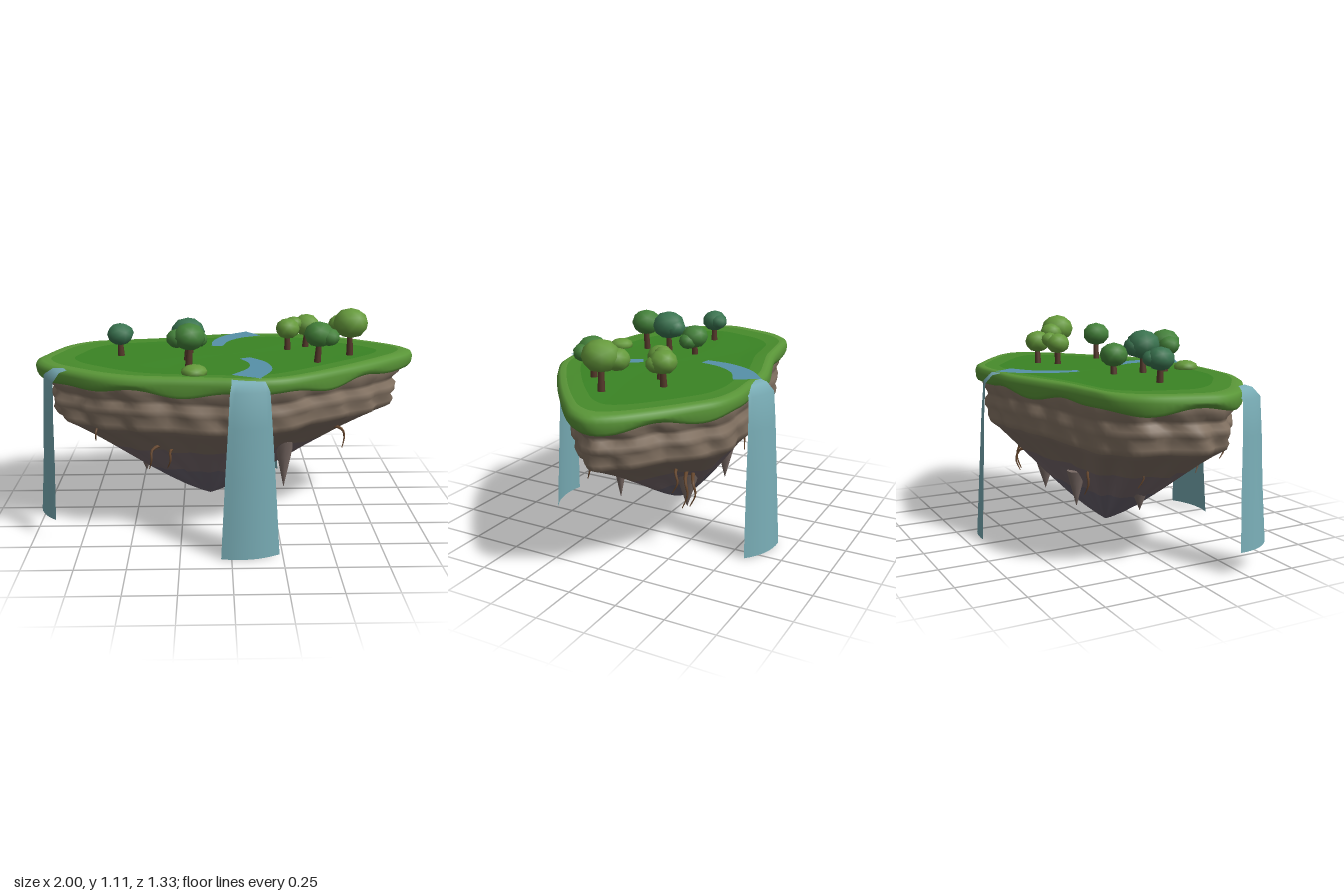
import * as THREE from 'three';

// Island outline seen from above (x, z), running left, back, right, front
const OUTLINE = [[-1, 0.08], [-0.97, -0.06], [-0.9, -0.24], [-0.78, -0.35], [-0.6, -0.39], [-0.4, -0.425],
  [-0.2, -0.485], [0, -0.54], [0.2, -0.548], [0.37, -0.555], [0.52, -0.525], [0.66, -0.44], [0.82, -0.325],
  [0.95, -0.21], [1, -0.12], [0.965, -0.02], [0.85, 0.1], [0.7, 0.23], [0.55, 0.345], [0.4, 0.45],
  [0.25, 0.53], [0.1, 0.555], [-0.1, 0.54], [-0.3, 0.525], [-0.5, 0.5], [-0.65, 0.44], [-0.8, 0.335], [-0.94, 0.21]];
const N = 128;
const rim = new THREE.CatmullRomCurve3(OUTLINE.map(([x, z]) => new THREE.Vector3(x, 0, z)), true)
  .getSpacedPoints(N).slice(0, N);

const material = (color, side = THREE.FrontSide) => new THREE.MeshStandardMaterial({ color, side, roughness: 0.9 });
const MAT = {
  grass: material(0x3a8424), grassEdge: material(0x478b2b), rim: material(0x5a9638),
  rock: material(0x857464), rockMid: material(0x7d6d62), rockLow: material(0x74666a), rockTip: material(0x67606c),
  trunk: material(0x55382a), root: material(0x69492f), spike: material(0x7a6b66),
  leaf: material(0x669a3c), leafMid: material(0x44823a), leafDark: material(0x3a7450),
  fall: material(0x78acb5, THREE.DoubleSide), stream: material(0x5691a8, THREE.DoubleSide),
};

function add(parent, name, geometry, mat) {
  const mesh = new THREE.Mesh(geometry, mat);
  mesh.name = name;
  parent.add(mesh);
  return mesh;
}

// Skins rings of points; bands [name, firstRing, lastRing, material] share one set of smooth normals
function loft(parent, ringCount, pointAt, bands) {
  const pos = [];
  for (let i = 0; i < ringCount; i++) for (let j = 0; j < N; j++) pos.push(...pointAt(i, j));
  const indexFor = (from, to) => {
    const idx = [];
    for (let i = from; i < to; i++) for (let j = 0; j < N; j++) {
      const a = i * N + j, b = i * N + (j + 1) % N;
      idx.push(a, b, a + N, b, b + N, a + N);
    }
    return idx;
  };
  const full = new THREE.BufferGeometry();
  full.setAttribute('position', new THREE.Float32BufferAttribute(pos, 3));
  full.setIndex(indexFor(0, ringCount - 1));
  full.computeVertexNormals();
  for (const [name, from, to, mat] of bands) {
    const g = full.clone();
    g.setIndex(indexFor(from, to));
    add(parent, name, g, mat);
  }
}

// Grass cap: gently rolling top, rounded lip and a wavy drooping hem
function buildGrass(parent) {
  const rings = [[0.002, 0.866], [0.3, 0.866], [0.6, 0.865], [0.8, 0.865], [0.92, 0.868], [0.965, 0.867],
    [0.99, 0.857], [1, 0.835], [0.995, 0.805], [0.98, 0.788], [0.955, 0.785], [0.9, 0.81]];
  loft(parent, rings.length, (i, j) => {
    const [s, y] = rings[i], p = rim[j], a = j / N * Math.PI * 2;
    const hem = i < 8 ? 0 : 0.012 * Math.sin(7 * a + 1) + 0.009 * Math.sin(12 * a);
    const roll = i < 5 ? 0.003 * Math.sin(3 * a + i) * s : 0;
    return [p.x * s, y + roll + hem, p.z * s];
  }, [['grassTop', 0, 3, MAT.grass], ['grassEdge', 3, 4, MAT.grassEdge], ['grassRim', 4, rings.length - 1, MAT.rim]]);
}

// Rock body: lobed strata above, ribbed cone below, narrowing to an off-centre tip
function buildRock(parent) {
  const rings = [[0.93, 0.84], [0.94, 0.8], [0.935, 0.765], [0.905, 0.735], [0.895, 0.715], [0.92, 0.69], [0.92, 0.66],
    [0.895, 0.635], [0.905, 0.605], [0.89, 0.575], [0.83, 0.545], [0.73, 0.49], [0.62, 0.425], [0.5, 0.352],
    [0.38, 0.275], [0.26, 0.2], [0.15, 0.138], [0.06, 0.095], [0.002, 0.072]];
  loft(parent, rings.length, (i, j) => {
    const [s, y] = rings[i], p = rim[j], a = j / N * Math.PI * 2;
    const low = Math.max(0, (0.575 - y) / 0.5);
    const lobes = 0.035 * (Math.abs(Math.sin(9 * a + 0.4 * Math.floor(i / 4))) - 0.64) + 0.006 * Math.sin(23 * a + i);
    const ribs = 0.13 * (Math.abs(Math.sin(4.5 * a + 0.5)) - 0.62) + 0.035 * Math.sin(17 * a);
    const k = s * (1 + lobes * (1 - low) + ribs * Math.min(1, low * 2));
    const shift = 1 - s;
    return [p.x * k - 0.1 * shift, y + 0.008 * Math.sin(5 * a) * (1 - low), p.z * k - 0.03 * shift];
  }, [['rockStrata', 0, 9, MAT.rock], ['rockUnderside', 9, 12, MAT.rockMid],
    ['rockCone', 12, 14, MAT.rockLow], ['rockTip', 14, rings.length - 1, MAT.rockTip]]);
}

// Waterfall: a sheet that tips over the rim, then widens and bows outward on the way down
function waterfall(parent, name, x, z, nx, nz, topWidth, bottomWidth, bottom) {
  // outward distance, height, share of the widening
  const rows = [[-0.035, 0.866, 0], [0.005, 0.858, 0.08], [0.045, 0.818, 0.3], [0.058, 0.65, 0.45],
    [0.07, 0.4, 0.68], [0.09, bottom, 1]];
  const g = new THREE.PlaneGeometry(1, 1, 8, rows.length - 1), pos = g.attributes.position;
  for (let i = 0; i < pos.count; i++) {
    const u = pos.getX(i), [d, y, f] = rows[Math.floor(i / 9)];
    pos.setXYZ(i, u * (topWidth + (bottomWidth - topWidth) * f), y, d + 0.03 * f * (0.5 - 4 * u * u));
  }
  g.computeVertexNormals();
  const m = add(parent, name, g, MAT.fall);
  m.position.set(x, 0, z);
  m.rotation.y = Math.atan2(nx, nz);
}

// Stream: flat ribbon along a curve, widening toward the rim
function stream(parent, name, points, w0, w1) {
  const curve = new THREE.CatmullRomCurve3(points.map(([x, z]) => new THREE.Vector3(x, 0.874, z)));
  const g = new THREE.PlaneGeometry(1, 1, 2, 20), pos = g.attributes.position;
  for (let i = 0; i < pos.count; i++) {
    const u = pos.getX(i), t = pos.getY(i) + 0.5, c = curve.getPoint(t), d = curve.getTangent(t);
    const w = u * (w0 + (w1 - w0) * t);
    pos.setXYZ(i, c.x - d.z * w, c.y, c.z + d.x * w);
  }
  g.computeVertexNormals();
  add(parent, name, g, MAT.stream);
}

// Leaf clump with a slightly flattened shape
function clump(parent, name, x, y, z, r, mat, squash = 0.86) {
  const m = add(parent, name, new THREE.IcosahedronGeometry(r, 1), mat);
  m.position.set(x, y, z);
  m.scale.y = squash;
  m.rotation.y = x * 17 + z * 9;
}

// Tree: leaning trunk, main crown and a smaller clump beside it
function tree(parent, x, z, y, r, mat, side) {
  const g = new THREE.Group();
  g.name = 'tree';
  const h = y - 0.85;
  const trunk = add(g, 'trunk', new THREE.CylinderGeometry(0.012, 0.019, h, 7), MAT.trunk);
  trunk.position.set(x, 0.85 + h / 2, z);
  trunk.rotation.z = 0.08 * Math.sin(x * 40);
  clump(g, 'crown', x, y, z, r, mat);
  clump(g, 'sideCrown', x + side[0], y + side[1], z + side[2], r * 0.7, mat);
  parent.add(g);
}

// Hanging rock spike
function spike(parent, x, z, top, tip, r) {
  const g = new THREE.ConeGeometry(r, top - tip, 8, 3);
  g.rotateX(Math.PI);
  const m = add(parent, 'hangingSpike', g, MAT.spike);
  m.position.set(x, (top + tip) / 2, z);
  m.rotation.y = x * 11;
}

// Root: thin bent tube leaving the rock and drooping
function root(parent, x, y, z, len) {
  const out = new THREE.Vector3(x + 0.1, 0, z).normalize();
  const at = (d, dy, side) => new THREE.Vector3(x + out.x * d - out.z * side, y - dy, z + out.z * d + out.x * side);
  const curve = new THREE.CatmullRomCurve3([at(-0.05, -0.01, 0), at(0.025, 0.01, 0.01), at(0.04, len * 0.5, 0), at(0.03, len, 0.025)]);
  const g = new THREE.TubeGeometry(curve, 10, 0.011, 5), pos = g.attributes.position;
  for (let i = 0; i < pos.count; i++) {
    const t = Math.floor(i / 6) / 10, c = curve.getPointAt(t), k = 1 - 0.8 * t;
    pos.setXYZ(i, c.x + (pos.getX(i) - c.x) * k, c.y + (pos.getY(i) - c.y) * k, c.z + (pos.getZ(i) - c.z) * k);
  }
  add(parent, 'root', g, MAT.root);
}

export function createModel() {
  const island = new THREE.Group();
  island.name = 'floatingIsland';
  buildGrass(island);
  buildRock(island);

  waterfall(island, 'frontWaterfall', 0.08, 0.555, 0.16, 0.99, 0.15, 0.29, 0);
  waterfall(island, 'backWaterfall', 0.17, -0.55, 0.33, -0.94, 0.15, 0.26, 0);
  waterfall(island, 'rightWaterfall', -0.86, 0.29, -0.9, 0.42, 0.14, 0.235, 0.115);
  stream(island, 'frontStream', [[0.08, 0.125], [0.14, 0.23], [0.145, 0.36], [0.07, 0.51]], 0.06, 0.15);
  stream(island, 'backStream', [[-0.06, -0.165], [-0.035, -0.3], [0.04, -0.42], [0.155, -0.5]], 0.06, 0.14);

  // Trees: x, z, crown height, crown radius, foliage, side clump offset
  tree(island, -0.565, 0.02, 0.98, 0.068, MAT.leafDark, [0.02, 0, -0.035]);
  tree(island, -0.2, -0.035, 0.965, 0.072, MAT.leafMid, [0.04, -0.02, 0.02]);
  tree(island, -0.21, 0.13, 1.01, 0.088, MAT.leafDark, [0.01, -0.01, -0.04]);
  tree(island, -0.2, 0.265, 1.015, 0.08, MAT.leafMid, [-0.06, -0.01, -0.01]);
  tree(island, 0.32, -0.11, 0.98, 0.065, MAT.leaf, [0.035, 0.02, -0.035]);
  tree(island, 0.43, -0.185, 0.985, 0.07, MAT.leaf, [0.02, -0.01, 0.03]);
  tree(island, 0.45, 0.195, 1.01, 0.076, MAT.leafMid, [0.05, -0.01, 0.02]);
  tree(island, 0.635, 0.03, 1.035, 0.092, MAT.leaf, [-0.045, -0.02, -0.06]);
  clump(island, 'bush', -0.175, 0.875, 0.415, 0.065, MAT.leaf, 0.55);

  // Spikes: x, z, top, tip, radius
  for (const s of [[0.29, 0.15, 0.44, 0.17, 0.055], [0.25, -0.225, 0.38, 0.18, 0.066],
    [-0.45, -0.02, 0.375, 0.21, 0.068], [-0.18, -0.24, 0.38, 0.19, 0.05]]) spike(island, ...s);

  // Roots: x, y, z, length
  for (const r of [[-0.64, 0.57, 0.3, 0.08], [-0.37, 0.46, 0.33, 0.11], [-0.28, 0.46, 0.34, 0.1], [0.57, 0.5, 0.12, 0.11],
    [0.46, 0.47, -0.28, 0.11], [0.4, 0.41, -0.3, 0.15], [0.36, 0.39, -0.32, 0.13], [-0.35, 0.42, -0.24, 0.12],
    [-0.6, 0.48, -0.1, 0.1]]) root(island, ...r);
  return island;
}
